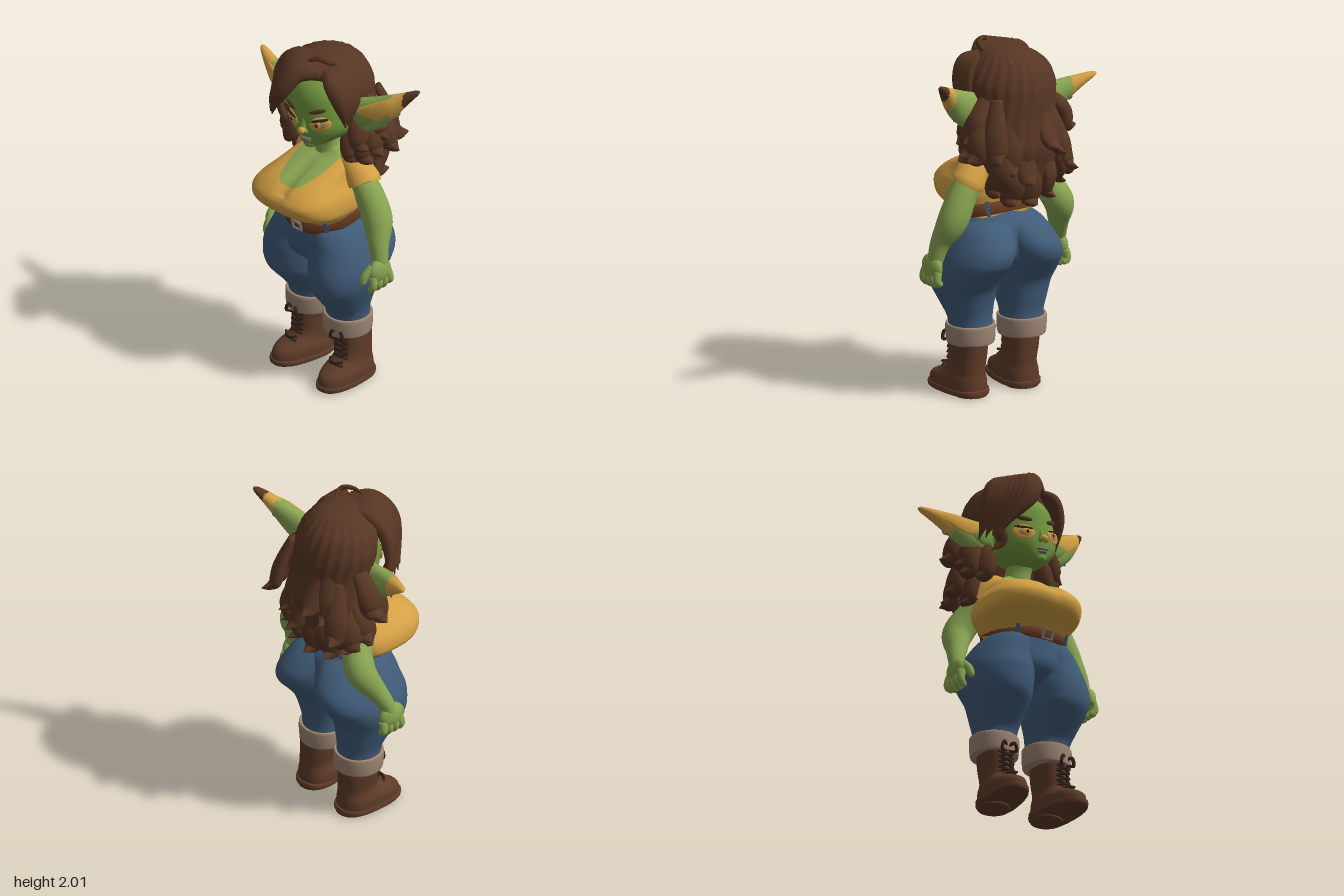
import * as THREE from 'three';

const mat = (name, color) => Object.assign(new THREE.MeshStandardMaterial({ color }), { name });
const M = {
  skin: mat('skin', 0x89a552), face: mat('face skin', 0x73973f), gold: mat('gold cloth', 0xd3a044),
  denim: mat('denim', 0x405b78), cuff: mat('cuff', 0x9d8572), boot: mat('boot leather', 0x5e3b28),
  hair: mat('hair', 0x573623), belt: mat('belt leather', 0x6b3d22), metal: mat('metal', 0x75726a),
  dark: mat('dark', 0x35241c),
};
const V = (x, y, z) => new THREE.Vector3(x, y, z);

function mesh(parent, name, geo, material) {
  const m = new THREE.Mesh(geo, material);
  m.name = name;
  parent.add(m);
  return m;
}

// Smooth in-between rows through a short list of number rows
function sample(list, sub) {
  const rows = [], at = i => list[Math.min(list.length - 1, Math.max(0, i))];
  for (let i = 0; i < list.length - 1; i++) for (let k = 0; k < sub; k++) {
    const t = k / sub, [a, b, c, d] = [at(i - 1), at(i), at(i + 1), at(i + 2)];
    rows.push(b.map((_, q) => 0.5 * (2 * b[q] + (c[q] - a[q]) * t + (2 * a[q] - 5 * b[q] + 4 * c[q] - d[q]) * t * t
      + (3 * b[q] - a[q] - 3 * c[q] + d[q]) * t * t * t)));
  }
  rows.push(list[list.length - 1].slice());
  return rows;
}

// Closed-loop surface from a rule giving the point at row i, angle a
function surface(rows, n, at) {
  const pos = [], idx = [];
  for (let i = 0; i < rows; i++) for (let j = 0; j < n; j++) {
    const p = at(i, j / n * Math.PI * 2);
    pos.push(p.x, p.y, p.z);
    if (i === rows - 1) continue;
    const a = i * n + j, b = i * n + (j + 1) % n;
    idx.push(a, b, a + n, b, b + n, a + n);
  }
  const g = new THREE.BufferGeometry();
  g.setAttribute('position', new THREE.Float32BufferAttribute(pos, 3));
  g.setIndex(idx);
  g.computeVertexNormals();
  return g;
}

// Horizontal rings, top to bottom: [y, cx, cz, rx, zFront, zBack]
function body(rings, { n = 36, sub = 5, e = 1, warp } = {}) {
  const rows = sample(rings, sub), pw = v => Math.sign(v) * Math.abs(v) ** e;
  const cap = r => [r[0], r[1], r[2], 0, 0, 0];
  rows.unshift(cap(rows[0]));
  rows.push(cap(rows[rows.length - 1]));
  return surface(rows.length, n, (i, a) => {
    const [y, cx, cz, rx, zf, zb] = rows[i], s = Math.sin(a);
    const p = V(cx + Math.max(0, rx) * pw(Math.cos(a)), y, cz + Math.max(0, s > 0 ? zf : zb) * pw(s));
    if (warp) warp(p, a, cx, cz);
    return p;
  });
}

// Tapered tube along [x, y, z, width, thickness]; thickness lies along ref
function tube(points, ref = V(0, 0, 1), n = 14, sub = 6) {
  const rows = sample(points.map(p => p.length < 5 ? [...p, p[3]] : p), sub);
  const cap = r => [r[0], r[1], r[2], 0, 0];
  rows.unshift(cap(rows[0]));
  rows.push(cap(rows[rows.length - 1]));
  const P = rows.map(r => V(r[0], r[1], r[2]));
  return surface(rows.length, n, (i, a) => {
    const T = P[Math.min(i + 1, P.length - 1)].clone().sub(P[Math.max(i - 1, 0)]).normalize();
    const A = ref.clone().cross(T).normalize(), B = T.clone().cross(A);
    return P[i].clone().addScaledVector(A, Math.cos(a) * Math.max(0, rows[i][3]))
      .addScaledVector(B, Math.sin(a) * Math.max(0, rows[i][4]));
  });
}

// Sort faces into material groups by centroid
function split(g, pick, count) {
  const bins = Array.from({ length: count }, () => []), idx = g.index.array, p = g.attributes.position;
  for (let i = 0; i < idx.length; i += 3) {
    const c = V(0, 0, 0);
    for (let k = 0; k < 3; k++) c.add(V(0, 0, 0).fromBufferAttribute(p, idx[i + k]));
    bins[pick(c.divideScalar(3))].push(idx[i], idx[i + 1], idx[i + 2]);
  }
  g.setIndex(bins.flat());
  let start = 0;
  bins.forEach((b, i) => { g.addGroup(start, b.length, i); start += b.length; });
  return g;
}

function ball(parent, name, [x, y, z], [sx, sy, sz], material) {
  const m = mesh(parent, name, new THREE.SphereGeometry(1, 28, 18), material);
  m.position.set(x, y, z);
  m.scale.set(sx, sy, sz);
  return m;
}

function buildTorso(g) {
  const geo = body([[1.41, .03, -.03, .07, .06, .06], [1.37, .03, -.03, .14, .09, .08], [1.33, .03, -.02, .185, .17, .1],
    [1.26, .015, .06, .22, .24, .18], [1.2, .005, .1, .262, .275, .23], [1.15, 0, .1, .28, .295, .23], [1.09, 0, .1, .277, .26, .22],
    [1.045, .02, .06, .235, .21, .18], [1.01, .045, .03, .195, .2, .15], [.96, .045, .02, .18, .19, .13]],
  { n: 144, sub: 12, e: .68, warp: p => { // cleavage groove
    if (p.z > .05) p.z -= (p.y > 1.2 ? .035 : .015) * Math.exp(-(((p.x - .03) / .035) ** 2)) * Math.exp(-(((p.y - 1.26) / .1) ** 2));
  } });
  mesh(g, 'shirt and chest', split(geo, c =>
    c.y > 1.385 || (c.z > 0 && ((c.x - .03) / .135) ** 2 + ((c.y - 1.38) / .14) ** 2 < 1) ? 1 : 0, 2), [M.gold, M.skin]);
  mesh(g, 'neck', tube([[.04, 1.53, .03, .075], [.03, 1.44, 0, .07], [.03, 1.35, -.02, .09]]), M.skin);
}

function buildArm(g, side, path, sleeve, hand) {
  mesh(g, side + 'Arm', tube(path, V(0, 0, 1), 24), M.skin);
  mesh(g, side + 'Sleeve', tube(sleeve, V(0, 0, 1), 28), M.gold);
  const h = new THREE.Group(), s = side === 'left' ? 1 : -1;
  h.name = side + 'Hand';
  h.position.set(...hand);
  g.add(h);
  ball(h, 'palm', [0, 0, .005], [.042, .075, .078], M.skin);
  for (let i = 0; i < 4; i++) {
    const z = -.06 + i * .042, d = i === 0 ? .015 : 0;
    mesh(h, 'finger', tube([[s * .005, -.02, z * .9, .024], [s * .014, -.07, z, .023], [-s * .005, -.105 + d, z, .019], [-s * .01, -.118 + d, z, .009]]), M.skin);
  }
  mesh(h, 'thumb', tube([[-s * .01, .03, .05, .027], [-s * .025, -.01, .09, .024], [-s * .03, -.05, .105, .019], [-s * .03, -.065, .105, .007]]), M.skin);
}

function buildLegs(g) {
  mesh(g, 'jeans hips', body([[1.04, .05, .01, .19, .19, .13], [.98, .045, .01, .24, .222, .18], [.9, .04, .01, .29, .232, .2],
    [.82, .04, .01, .29, .235, .2], [.76, .04, .01, .25, .2, .17], [.7, .04, .01, .15, .12, .1]], { n: 48 }), M.denim);
  for (const s of [1, -1]) {
    const side = s > 0 ? 'left' : 'right', dz = s > 0 ? 0 : -.035, X = d => .045 + s * d;
    mesh(g, side + 'JeansLeg', body([[1.02, X(.08), 0, .1, .12, .1], [.98, X(.1), 0, .15, .205, .18], [.92, X(.125), 0, .17, .232, .245], [.85, X(.15), 0, .183, .245, .288],
      [.78, X(.17), 0, .19, .265, .28], [.72, X(.178), .02 + dz * .3, .19, .258, .25], [.66, X(.18), .04 + dz * .5, .182, .24, .22],
      [.6, X(.175), .05 + dz * .7, .168, .215, .19], [.5, X(.168), .03 + dz, .138, .16, .14], [.43, X(.162), .02 + dz, .123, .12, .12],
      [.36, X(.16), .015 + dz, .12, .12, .12]], { n: 44, e: .94 }), M.denim);
    mesh(g, side + 'Cuff', body([[.398, X(.162), .015 + dz, .118, .118, .118], [.405, X(.162), .015 + dz, .13, .13, .13], [.39, X(.162), .015 + dz, .139, .14, .138],
      [.31, X(.162), .015 + dz, .135, .138, .135], [.292, X(.162), .015 + dz, .126, .13, .126], [.297, X(.162), .015 + dz, .1, .1, .1]]), M.cuff);

    // Boot with sole, heel and crossed laces
    const b = new THREE.Group();
    b.name = side + 'Boot';
    b.position.set(X(.17) + .025, 0, dz * .6);
    b.rotation.y = s * .1;
    g.add(b);
    mesh(b, 'shaft and foot', body([[.34, -.01, 0, .098, .12, .11], [.24, -.008, 0, .094, .118, .108], [.16, 0, 0, .088, .13, .105], [.125, 0, .01, .092, .175, .115],
      [.09, 0, .02, .104, .235, .128], [.05, 0, .02, .107, .255, .13], [.02, 0, .02, .104, .25, .13]], { e: .88 }), M.boot);
    mesh(b, 'sole', body([[.04, 0, .02, .102, .252, .13], [.037, 0, .02, .112, .265, .142], [.012, 0, .02, .112, .263, .142], [.01, 0, .02, .107, .258, .14]], { e: .85, sub: 2 }), M.boot);
    const heel = mesh(b, 'heel', new THREE.CylinderGeometry(.09, .09, .03, 24), M.boot);
    heel.position.set(0, .015, -.03);
    for (let i = 0; i < 6; i++) for (const k of [1, -1]) {
      const y = .13 + i * .032, z = i === 0 ? .172 : .132 - i * .002;
      mesh(b, 'lace', tube([[-k * .045, y, z - .018, .008], [0, y + .015, z + .002, .008], [k * .045, y + .03, z - .018, .008]], V(0, 0, 1), 6, 3), M.dark);
    }
    for (const k of [1, -1]) mesh(b, 'lace bow', tube([[0, .31, .125, .008], [k * .03, .335, .15, .01], [k * .045, .29, .15, .01], [k * .01, .29, .13, .006]], V(0, 0, 1), 6), M.dark);
  }
  // Belt, low at the front, with buckle and loops
  const belt = new THREE.Group();
  belt.name = 'belt';
  belt.position.set(.05, 1.05, 0);
  belt.rotation.x = .26;
  g.add(belt);
  mesh(belt, 'strap', body([[.032, 0, 0, .19, .21, .13], [.032, 0, 0, .21, .25, .16], [-.032, 0, 0, .232, .265, .18], [-.032, 0, 0, .19, .21, .13]], { sub: 1, n: 48, e: .86 }), M.belt);
  for (const k of [0, 1]) for (const q of [1, -1]) {
    const bar = mesh(belt, 'buckle bar', new THREE.BoxGeometry(k ? .066 : .01, k ? .01 : .058, .016), M.metal);
    bar.position.set(k ? 0 : q * .03, k ? q * .026 : 0, .265);
  }
  for (const a of [.8, 2.3, 4, 5.4]) {
    const loop = mesh(belt, 'belt loop', new THREE.BoxGeometry(.022, .085, .014), M.denim);
    loop.position.set(.236 * Math.cos(a), 0, (Math.sin(a) > 0 ? .275 : .18) * Math.sin(a));
    loop.rotation.y = Math.PI / 2 - a;
  }
}

function buildHead(g) {
  const h = new THREE.Group();
  h.name = 'head';
  h.position.set(.03, 1.62, 0);
  h.rotation.set(0, .08, .13);
  g.add(h);
  mesh(h, 'face', body([[.25, 0, 0, .03, .03, .03], [.22, 0, 0, .13, .14, .12], [.15, 0, 0, .185, .19, .17], [.06, 0, 0, .198, .2, .18],
    [-.04, 0, 0, .2, .205, .17], [-.1, 0, 0, .165, .198, .12], [-.145, 0, .02, .095, .17, .08], [-.165, 0, .06, .045, .11, .04]], { n: 48 }), M.face);
  // Flat details laid on the curve of the face
  const onFace = (name, x, y, size, material, lift = 0, roll = 0) => {
    const m = ball(h, name, [x, y, .2 * Math.sqrt(1 - (x / .2) ** 2) + lift], size, material);
    m.rotation.set(0, Math.asin(x / .2) * .85, roll);
  };
  for (const s of [1, -1]) {
    onFace('eyeshadow', s * .1, -.005, [.064, .044, .013], M.gold, 0, s * .12);
    onFace('eye white', s * .098, -.006, [.045, .026, .012], M.cuff, .004, s * .12);
    onFace('iris', s * .092, -.006, [.023, .025, .01], M.gold, .009);
    onFace('pupil', s * .09, -.006, [.009, .012, .006], M.dark, .016);
    onFace('lash', s * .102, .021, [.054, .009, .012], M.dark, .006, s * .15);
    onFace('brow', s * .095, .075, [.05, .013, .01], M.hair, .004, s * .2);
    ball(h, 'nostril wing', [s * .018, -.05, .212], [.015, .013, .015], M.face);

    // Ear, inner ear and rings
    const side = s > 0 ? 'left' : 'right', P = pts => pts.map(([x, ...r]) => [s * x, ...r]);
    const ear = split(tube(P([[.15, -.02, -.02, .08, .05], [.24, 0, -.035, .1, .056], [.33, .035, -.05, .088, .055],
      [.42, .085, -.075, .062, .048], [.5, .133, -.108, .034, .034], [.555, .166, -.135, .016, .02], [.572, .175, -.145, .005, .006]]), V(0, 0, 1), 24),
    c => Math.abs(c.x) > .5 && s > 0 ? 2 : Math.abs(c.x) > .43 ? 1 : 0, 3);
    mesh(h, side + 'Ear', ear, [M.skin, M.gold, M.hair]);
    mesh(h, side + 'InnerEar', tube(P([[.25, .035, .008, .03, .016], [.33, .046, -.005, .05, .016], [.42, .09, -.035, .04, .015], [.49, .13, -.078, .018, .01]])), M.gold);
    mesh(h, side + 'EarHollow', tube(P([[.2, -.01, .015, .05, .014], [.27, .005, .01, .045, .014], [.33, .02, -.005, .02, .013]])), M.face);
    for (const [x, y, z, r] of [[.22, -.1, -.01, .024], [.36, -.03, -.05, .018], [.44, .04, -.08, .018]]) {
      const ring = mesh(h, 'earring', new THREE.TorusGeometry(r, .007, 8, 20), M.metal);
      ring.position.set(s * x, y, z);
      ring.rotation.y = x < .3 ? 0 : s * .9;
    }
  }
  mesh(h, 'nose bridge', tube([[0, .03, .19, .012], [0, -.02, .2, .018], [0, -.05, .21, .022]]), M.face);
  ball(h, 'nose tip', [0, -.044, .22], [.024, .021, .022], M.gold);
  onFace('upper lip', 0, -.1, [.042, .009, .014], M.metal, 0);
  onFace('lower lip', 0, -.114, [.032, .011, .015], M.metal, -.006);
  ball(h, 'chin', [0, -.143, .165], [.04, .024, .03], M.face);
}

function buildHair(g) {
  mesh(g, 'hair mass', body([[1.97, .02, -.03, .03, .03, .03], [1.95, .01, -.03, .12, .12, .13], [1.885, -.01, -.04, .21, .17, .21], [1.8, -.01, -.05, .255, .15, .245],
    [1.72, -.01, -.06, .26, .12, .25], [1.62, 0, -.08, .255, .08, .235], [1.52, 0, -.12, .26, .08, .21], [1.43, 0, -.14, .265, .07, .2],
    [1.32, 0, -.17, .235, .05, .14], [1.22, 0, -.2, .16, .04, .09], [1.15, 0, -.23, .07, .02, .05]],
  { n: 132, warp: (p, a, cx, cz) => { // strand grooves
    const k = 1 - .04 * Math.abs(Math.sin(11 * a + 6 * p.y)) - .012 * Math.abs(Math.sin(27 * a));
    p.x = cx + (p.x - cx) * k; p.z = cz + (p.z - cz) * k;
  } }), M.hair);
  const lock = (pts, w, t = w * .6, name = 'lock') => {
    const k = [.5, 1, .9, .06], m = pts[1];
    mesh(g, name, tube(pts.map((p, i) => [...p, w * k[i], t * k[i]]), V(m[0], .1, m[2] + .05).normalize(), 12, 7), M.hair);
  };
  // Fringe swept from the parting to the right, and the shorter left side
  for (let i = 0; i < 8; i++) {
    const t = i / 7;
    lock([[.1, 1.91, .12 - .14 * t], [-.01 - .12 * t, 1.91, .2 - .13 * t], [-.085 - .14 * t, 1.775, .265 - .16 * t], [-.21 - .06 * t, 1.58 - .03 * (i % 2), .2 - .14 * t]], .06, .045, 'fringe');
    if (i < 5) lock([[.1, 1.92, .08 - .14 * t], [.185, 1.88, .12 - .17 * t], [.235, 1.76, .1 - .18 * t], [.235, 1.6, .06 - .16 * t]], .045, .03, 'left side hair');
  }
  lock([[.1, 1.92, 0], [.12, 1.975, .06], [.06, 1.99, .1], [-.01, 1.95, .14]], .02, .012, 'top strand');
  lock([[-.2, 1.7, .1], [-.19, 1.6, .14], [-.17, 1.53, .13], [-.23, 1.47, .11]], .035);
  // Flicked tips round the back and sides
  const tips = [[-.25, 1.3, -.36], [-.09, 1.45, -.41], [.07, 1.27, -.39], [.29, 1.42, -.37], [.17, 1.33, -.35], [-.17, 1.4, -.36],
    [0, 1.12, -.32], [.14, 1.14, -.31], [-.14, 1.14, -.3], [.23, 1.2, -.28], [-.24, 1.2, -.26]];
  for (const [x, y, z] of tips)
    lock([[x * .7, y + .32, -.22], [x * .85, y + .14, -.27], [x * .9, y + .02, z + .07], [x, y, z]], .065);
  // Curls falling over the shoulders
  const curls = [[.39, 1.41, -.2], [.37, 1.41, -.1], [.34, 1.37, -.05], [.33, 1.46, -.02], [.27, 1.37, -.01], [.37, 1.5, -.14],
    [-.41, 1.46, -.12], [-.36, 1.29, -.14], [-.34, 1.25, -.21], [-.3, 1.21, -.08], [-.35, 1.36, -.02], [-.27, 1.34, .03], [-.36, 1.42, -.06]];
  for (const [x, y, z] of curls) {
    const s = Math.sign(x);
    lock([[s * .19, y + .24, z * .6 - .04], [x * .75, y + .12, z * .9 - .01], [x * .82, y + .02, z], [x, y, z]], .068, .05, 'shoulder curl');
  }
}

export function createModel() {
  const g = new THREE.Group();
  g.name = 'figure';
  buildLegs(g);
  buildTorso(g);
  buildArm(g, 'left', [[.2, 1.31, -.03, .07], [.3, 1.18, -.045, .08], [.375, 1.03, -.045, .085], [.425, .91, -.005, .058], [.45, .81, .01, .045], [.455, .76, .015, .04]],
    [[.14, 1.34, -.03, .06], [.21, 1.315, -.03, .08], [.265, 1.24, -.04, .098], [.275, 1.225, -.04, .095]], [.462, .768, .02]);
  buildArm(g, 'right', [[-.12, 1.31, -.04, .07], [-.2, 1.18, -.11, .08], [-.275, 1.05, -.145, .085], [-.325, .92, -.08, .06], [-.36, .82, -.03, .045], [-.37, .76, -.02, .04]],
    [[-.06, 1.34, -.03, .06], [-.12, 1.32, -.04, .08], [-.165, 1.24, -.085, .096], [-.172, 1.225, -.09, .093]], [-.372, .75, -.015]);
  buildHead(g);
  buildHair(g);
  return g;
}
